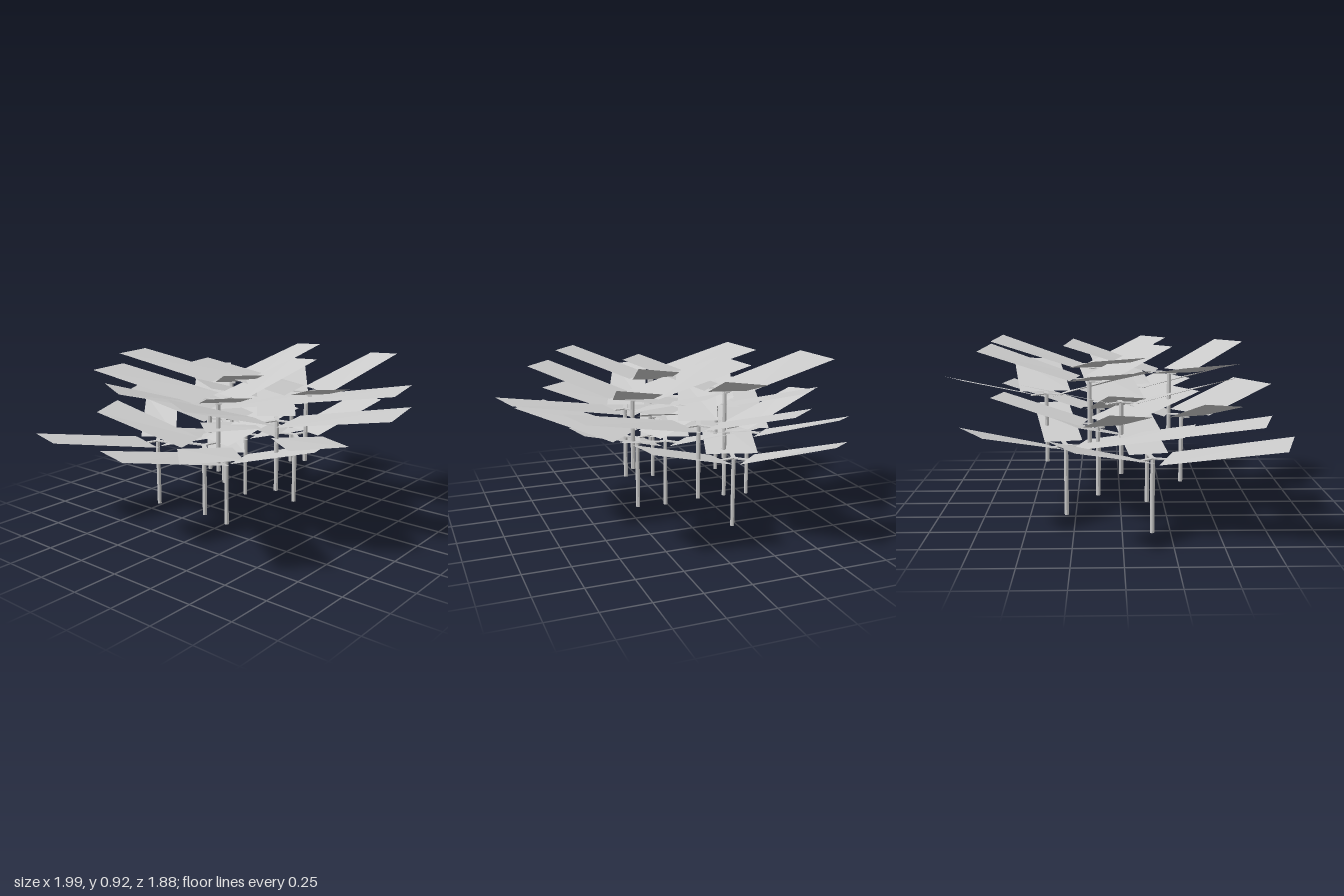
import * as THREE from 'three';

const material = new THREE.MeshStandardMaterial({
  color: 0xcccccc, flatShading: true, side: THREE.DoubleSide,
});

// The three blades of a tower: reach, width, rise at the tip, twist of the tip
const BLADES = [
  { name: 'mediumBlade', inner: 0.08, reach: 0.598, width: 0.21, rise: 0.152, twist: 0.022 },
  { name: 'shortBlade', inner: 0.08, reach: 0.572, width: 0.21, rise: 0.135, twist: 0 },
  { name: 'longBlade', inner: 0.07, reach: 0.69, width: 0.29, rise: 0.118, twist: -0.012 },
];

// Each tier: base height, blade headings in degrees (from +x towards +z), tower positions
const TIERS = [
  { y: 0, angles: [-131.6, -11.5, 108.2], at: [[-0.525, 0.155], [0.01, 0.155], [-0.22, -0.3]] },
  { y: 0.12, angles: [164.5, -76, 45.3], at: [[0.02, 0.35], [-0.245, -0.125], [0.275, -0.125]] },
  { y: 0.24, angles: [111, -128, -9], at: [[-0.245, 0], [0.285, 0.06], [0.04, -0.42]] },
  { y: 0.36, angles: [-75.5, 44, 166.7], at: [[-0.22, -0.17], [0.315, -0.17], [0.06, 0.28]] },
];

const POST = 0.4;

// Thin rectangle running outward along +x, climbing and twisting to its tip
function bladeGeometry({ inner, reach, width, rise, twist }) {
  const geo = new THREE.PlaneGeometry(reach - inner, width);
  geo.rotateX(-Math.PI / 2);
  geo.translate((reach + inner) / 2, 0, 0);
  const p = geo.attributes.position;
  for (let i = 0; i < p.count; i++) {
    const t = (p.getX(i) - inner) / (reach - inner);
    p.setY(i, t * (rise + (p.getZ(i) / width) * twist));
  }
  geo.computeVertexNormals();
  return geo;
}

const bladeGeos = BLADES.map(bladeGeometry);
const postGeo = new THREE.CylinderGeometry(0.012, 0.012, POST, 8).translate(0, POST / 2, 0);
const spokeGeo = new THREE.BoxGeometry(0.1, 0.006, 0.024).translate(0.05, 0, 0);

function mesh(geo, name, parent) {
  const m = new THREE.Mesh(geo, material);
  m.name = name;
  parent.add(m);
  return m;
}

// Post with three spokes, each carrying a blade
function createTower(angles) {
  const tower = new THREE.Group();
  tower.name = 'tower';
  mesh(postGeo, 'post', tower);
  BLADES.forEach((blade, i) => {
    const arm = new THREE.Group();
    arm.name = 'arm';
    arm.position.y = POST;
    arm.rotation.y = -THREE.MathUtils.degToRad(angles[i]);
    mesh(bladeGeos[i], blade.name, arm);
    mesh(spokeGeo, 'spoke', arm).position.y = -0.003;
    tower.add(arm);
  });
  return tower;
}

export function createModel() {
  const model = new THREE.Group();
  model.name = 'bladeCanopy';
  for (const { y, angles, at } of TIERS) {
    const tier = new THREE.Group();
    tier.name = 'tier';
    for (const [x, z] of at) {
      const tower = createTower(angles);
      tower.position.set(x, y, z);
      tier.add(tower);
    }
    model.add(tier);
  }
  return model;
}
